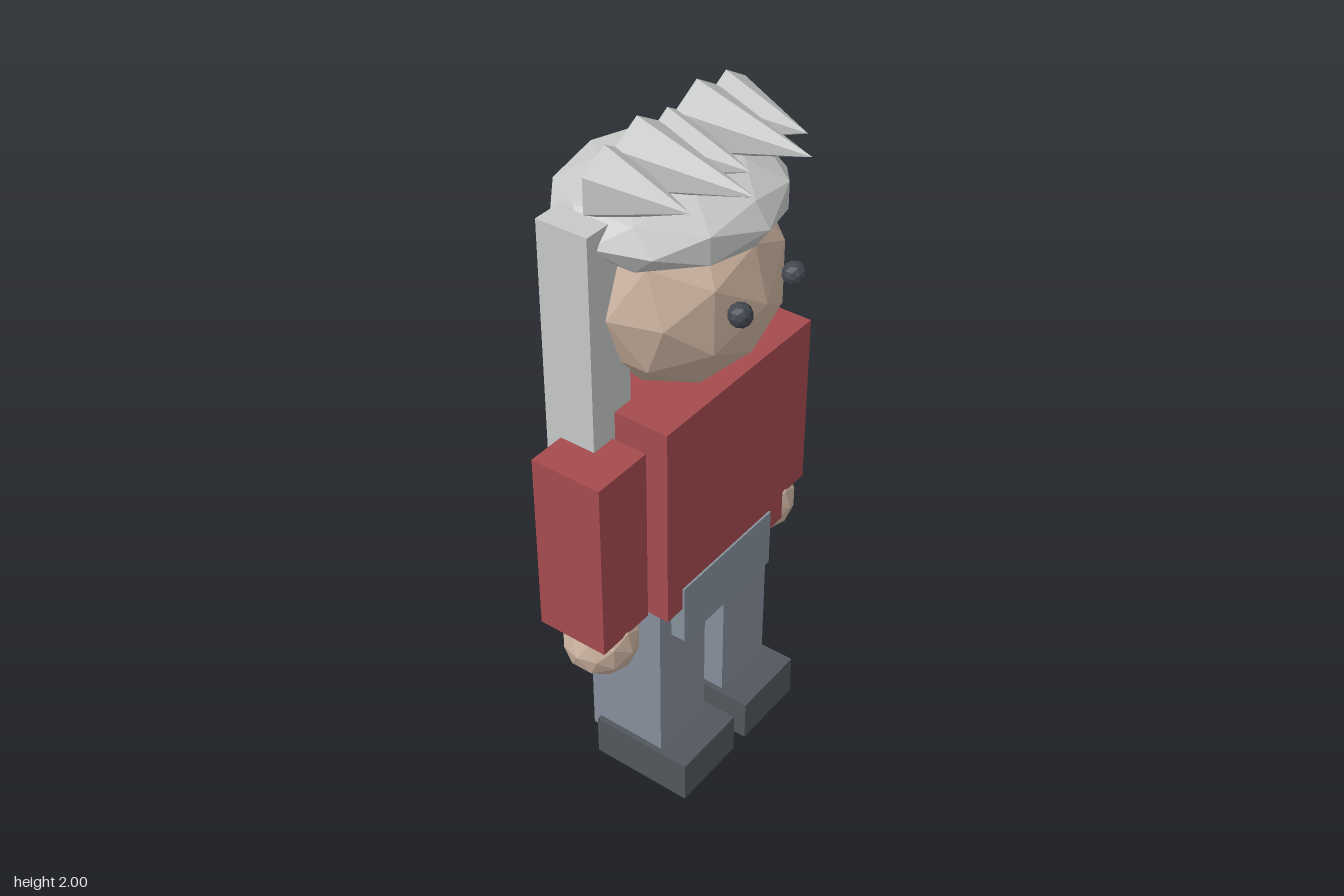
import * as THREE from 'three';

export function createModel() {
  const model = new THREE.Group();
  model.name = 'blockyFigure';

  const mat = (name, color) => {
    const m = new THREE.MeshStandardMaterial({ color });
    m.name = name;
    m.flatShading = true;
    return m;
  };
  const skin = mat('skin', 0xcbb29f);
  const hair = mat('greyHair', 0xc6c9c7);
  const shirt = mat('redShirt', 0xa54b4f);
  const trousers = mat('greyBlueTrousers', 0x878f9c);
  const belt = mat('slateHips', 0x85919b);
  const shoe = mat('darkShoes', 0x52575d);
  const eyeDark = mat('darkEyes', 0x42464e);

  const add = (name, geometry, material) => {
    const mesh = new THREE.Mesh(geometry, material);
    mesh.name = name;
    model.add(mesh);
    return mesh;
  };

  // Box given by its limits on each axis
  const box = (name, material, [x0, x1], [y0, y1], [z0, z1]) =>
    add(name, new THREE.BoxGeometry(x1 - x0, y1 - y0, z1 - z0), material)
      .position.set((x0 + x1) / 2, (y0 + y1) / 2, (z0 + z1) / 2);

  // Faceted ball with separate radii
  const ball = (name, material, [x, y, z], [rx, ry, rz]) =>
    add(name, new THREE.IcosahedronGeometry(1, 1).scale(rx, ry, rz), material)
      .position.set(x, y, z);

  // Body
  box('torso', shirt, [-0.265, 0.265], [0.65, 1.265], [-0.155, 0.168]);
  box('hips', belt, [-0.2, 0.2], [0.535, 0.72], [-0.158, 0.174]);

  // Head and hair cap
  ball('head', skin, [0, 1.545, 0.006], [0.29, 0.29, 0.262]);
  ball('hairCap', hair, [0, 1.75, -0.018], [0.32, 0.12, 0.287]);

  // Paired parts
  for (const [side, s] of [['left', 1], ['right', -1]]) {
    const span = (a, b) => (s > 0 ? [a, b] : [-b, -a]);
    box(side + 'Arm', shirt, span(0.275, 0.46), [0.65, 1.19], [-0.1, 0.11]);
    ball(side + 'Hand', skin, [s * 0.367, 0.598, 0.025], [0.105, 0.105, 0.105]);
    box(side + 'Leg', trousers, span(0.045, 0.25), [0.09, 0.63], [-0.11, 0.13]);
    box(side + 'Shoe', shoe, span(0.028, 0.266), [0, 0.13], [-0.085, 0.226]);
    box(side + 'HairLock', hair, span(0.2, 0.348), [1.02, 1.8], [-0.145, 0.006]);
    ball(side + 'Eye', eyeDark, [s * 0.113, 1.575, 0.269], [0.032, 0.032, 0.032]);
  }

  // Row of forward-pointing fringe spikes: x, y, radius, length
  const spikes = [
    [-0.234, 1.882, 0.095, 0.24],
    [-0.115, 1.9, 0.1, 0.33],
    [0, 1.882, 0.092, 0.24],
    [0.115, 1.9, 0.1, 0.33],
    [0.234, 1.882, 0.095, 0.24],
  ];
  spikes.forEach(([x, y, r, length], i) => {
    const cone = new THREE.ConeGeometry(r, length, 6).rotateX(Math.PI / 2);
    add('fringeSpike' + (i + 1), cone, hair).position.set(x, y, -0.028 + length / 2);
  });

  return model;
}
